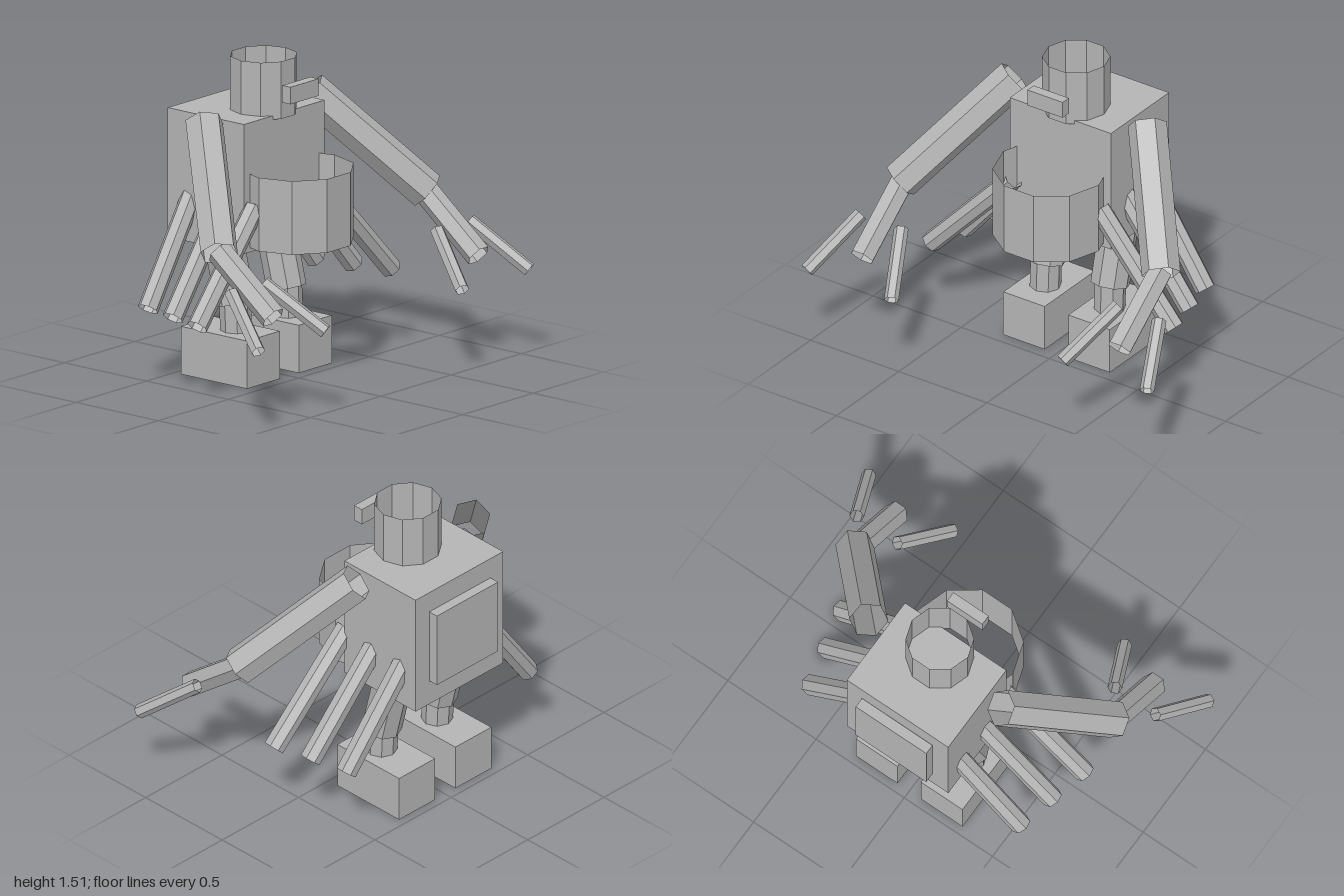
import * as THREE from 'three';

export function createModel() {
  const model = new THREE.Group();
  model.name = 'robot';
  const grey = new THREE.MeshStandardMaterial({ color: 0xb4b4b4 });
  grey.name = 'plain grey';
  grey.flatShading = true;
  grey.side = THREE.DoubleSide;

  const add = (name, geometry) => {
    const mesh = new THREE.Mesh(geometry, grey);
    mesh.name = name;
    model.add(mesh);
    return mesh;
  };

  // Box given by its limits on each axis
  const box = (name, [x0, x1], [y0, y1], [z0, z1]) =>
    add(name, new THREE.BoxGeometry(x1 - x0, y1 - y0, z1 - z0))
      .position.set((x0 + x1) / 2, (y0 + y1) / 2, (z0 + z1) / 2);

  // Open faceted pipe between two points
  const pipe = (name, from, to, radius, sides) => {
    const a = new THREE.Vector3(...from);
    const b = new THREE.Vector3(...to);
    const axis = b.clone().sub(a);
    const mesh = add(name, new THREE.CylinderGeometry(radius, radius, axis.length(), sides, 1, true));
    mesh.position.copy(a).add(b).multiplyScalar(0.5);
    mesh.quaternion.setFromUnitVectors(new THREE.Vector3(0, 1, 0), axis.negate().normalize());
    return mesh;
  };

  // Torso, back plate and floating mouth piece
  box('torso', [-0.287, 0.287], [0.638, 1.258], [-0.553, -0.088]);
  box('backPlate', [-0.2, 0.2], [0.77, 1.154], [-0.606, -0.556]);
  box('mouth', [-0.1, 0.1], [1.338, 1.42], [-0.015, 0.035]);

  // Open ten-sided drums, turned so that a flat faces the front
  pipe('head', [0, 1.515, -0.215], [0, 1.24, -0.215], 0.158, 10).rotateY(Math.PI / 10);
  pipe('bellyPouch', [0, 1.013, -0.012], [0, 0.66, -0.012], 0.27, 10).rotateY(Math.PI / 10);

  for (const s of [1, -1]) {
    const side = s > 0 ? 'left' : 'right';
    const limb = (name, [x0, y0, z0], [x1, y1, z1], radius, sides) =>
      pipe(side + name, [s * x0, y0, z0], [s * x1, y1, z1], radius, sides);

    // Leg and block foot
    limb('UpperLeg', [0.182, 0.7, -0.315], [0.182, 0.358, -0.23], 0.093, 8);
    limb('LowerLeg', [0.182, 0.42, -0.235], [0.182, 0.2, -0.224], 0.074, 8);
    const foot = [s * 0.067, s * 0.302].sort((p, q) => p - q);
    box(side + 'Foot', foot, [0, 0.229], [-0.46, -0.057]);

    // Arm with two floating fingers
    limb('UpperArm', [0.375, 1.26, -0.255], [0.74, 0.773, 0.15], 0.091, 6);
    limb('Forearm', [0.73, 0.78, 0.14], [0.73, 0.52, 0.47], 0.061, 6).rotateY(Math.PI / 6);
    limb('InnerFinger', [0.617, 0.638, 0.315], [0.486, 0.424, 0.58], 0.034, 6);
    limb('OuterFinger', [0.846, 0.638, 0.315], [0.964, 0.424, 0.58], 0.034, 6);

    // Three spikes fanning out and down from the flank
    [[-0.06, 0.69], [-0.25, 0.642], [-0.44, 0.596]].forEach(([z, x], i) =>
      limb('Spike' + (i + 1), [0.245, 0.855, z], [x, 0.38, z + 0.032], 0.05, 7));
  }
  return model;
}
